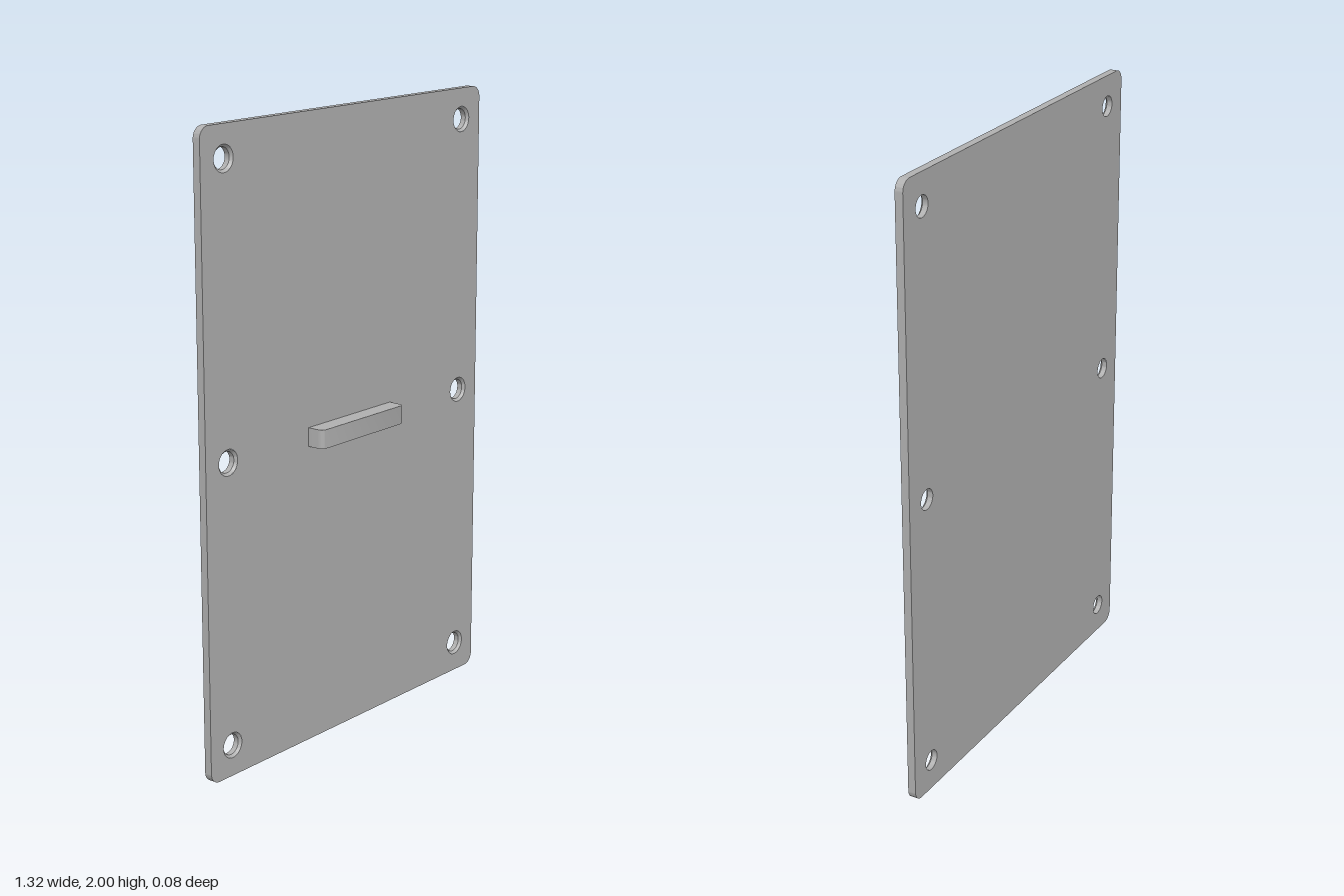
import * as THREE from 'three';
import { mergeGeometries, toCreasedNormals } from 'three/addons/utils/BufferGeometryUtils.js';

const W = 0.66, H = 2, CORNER = 0.036;
const BACK = -0.042, FRONT = -0.016, BAR_FRONT = 0.041;
const HOLE = 0.033, SINK = 0.041;
const SEGMENTS = 32;
const holes = [-0.563, 0.563].flatMap(x => [-0.9, 0, 0.9].map(y => [x, y]));

// Rounded outline centred on the origin, with optional screw holes
function plateShape(holeRadius) {
  const s = new THREE.Shape(), h = H / 2, r = CORNER;
  s.absarc(W - r, h - r, r, 0, Math.PI / 2);
  s.absarc(-W + r, h - r, r, Math.PI / 2, Math.PI);
  s.absarc(-W + r, -h + r, r, Math.PI, Math.PI * 1.5);
  s.absarc(W - r, -h + r, r, Math.PI * 1.5, Math.PI * 2);
  s.closePath();
  if (holeRadius) {
    for (const [x, y] of holes) {
      s.holes.push(new THREE.Path().absarc(x, y, holeRadius, 0, Math.PI * 2, true));
    }
  }
  return s;
}

// Outer edge only: the side walls of an extrusion without its caps
function rimGeometry() {
  const g = new THREE.ExtrudeGeometry(plateShape(0), {
    depth: FRONT - BACK, bevelEnabled: false, curveSegments: 8,
  });
  const side = g.groups[1];
  const positions = g.attributes.position.array.slice(side.start * 3, (side.start + side.count) * 3);
  const rim = new THREE.BufferGeometry();
  rim.setAttribute('position', new THREE.BufferAttribute(positions, 3));
  return toCreasedNormals(rim.translate(0, 0, BACK), 0.6);
}

// Inner wall of a hole, with a countersunk mouth on the front
function holeGeometry(x, y) {
  const profile = [
    [SINK, FRONT], [HOLE, FRONT - (SINK - HOLE)], [HOLE, BACK],
  ].map(([r, z]) => new THREE.Vector2(r, z));
  const g = new THREE.LatheGeometry(profile, SEGMENTS);
  return toCreasedNormals(g.rotateX(Math.PI / 2).translate(x, y, 0), 0.5);
}

// Handle bar with rounded front ends, extruded upwards
function barGeometry() {
  const hw = 0.2, r = 0.018, height = 0.06;
  const s = new THREE.Shape();
  s.moveTo(hw, -FRONT);
  s.lineTo(-hw, -FRONT);
  s.lineTo(-hw, -BAR_FRONT + r);
  s.absarc(-hw + r, -BAR_FRONT + r, r, Math.PI, Math.PI * 1.5);
  s.absarc(hw - r, -BAR_FRONT + r, r, Math.PI * 1.5, Math.PI * 2);
  s.closePath();
  const g = new THREE.ExtrudeGeometry(s, { depth: height, bevelEnabled: false, curveSegments: 8 });
  return toCreasedNormals(g.rotateX(-Math.PI / 2).translate(0, H / 2 - height / 2, 0), 0.6);
}

export function createModel() {
  const grey = new THREE.MeshStandardMaterial({ color: 0xb0b0b0 });
  grey.name = 'grey';
  const model = new THREE.Group();
  model.name = 'coverPlate';
  const add = (name, geometry, y = 0) => {
    const mesh = new THREE.Mesh(geometry, grey);
    mesh.name = name;
    mesh.position.y = y;
    model.add(mesh);
  };

  // Plate faces, rim and hole walls
  add('plateFront', new THREE.ShapeGeometry(plateShape(SINK), SEGMENTS).translate(0, 0, FRONT), H / 2);
  add('plateBack', new THREE.ShapeGeometry(plateShape(HOLE), SEGMENTS).rotateY(Math.PI).translate(0, 0, BACK), H / 2);
  add('plateRim', rimGeometry(), H / 2);
  add('screwHoles', mergeGeometries(holes.map(([x, y]) => holeGeometry(x, y))), H / 2);

  // Raised grip across the middle
  add('handleBar', barGeometry());
  return model;
}
